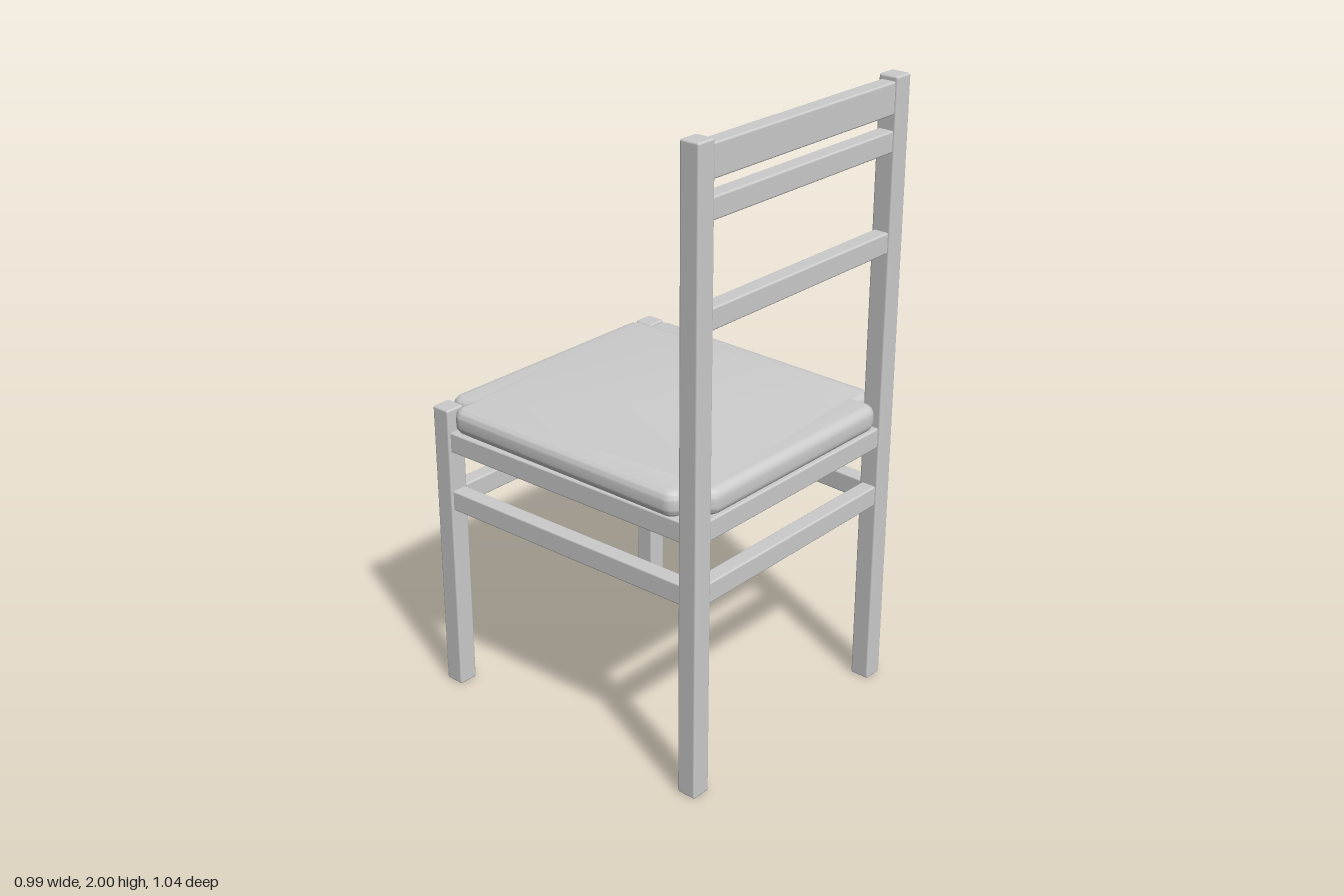
import * as THREE from 'three';
import { RoundedBoxGeometry } from 'three/addons/geometries/RoundedBoxGeometry.js';
import { mergeVertices, toCreasedNormals } from 'three/addons/utils/BufferGeometryUtils.js';

const LEG = 0.066, RAIL = 0.052;
const TALL = { x: 0.433, z: 0.484 };   // posts that carry the backrest
const SHORT = { x: 0.462, z: -0.484 }; // opposite legs, set slightly wider

const material = new THREE.MeshStandardMaterial({ color: 0xcccccc });

function add(group, name, geometry, x, y, z) {
  const mesh = new THREE.Mesh(geometry, material);
  mesh.name = name;
  mesh.position.set(x, y, z);
  group.add(mesh);
  return mesh;
}

function leg(group, name, x, z, height) {
  add(group, name, new RoundedBoxGeometry(LEG, height, LEG, 2, 0.007), x, height / 2, z);
}

// Horizontal bar between two leg centres, from height y0 to y1
function rail(group, name, [ax, az], [bx, bz], y0, y1) {
  const dx = bx - ax, dz = bz - az;
  const length = Math.hypot(dx, dz) - LEG + 0.012;
  const geometry = new RoundedBoxGeometry(RAIL, y1 - y0, length, 2, 0.006);
  add(group, name, geometry, (ax + bx) / 2, (y0 + y1) / 2, (az + bz) / 2).rotation.y = Math.atan2(dx, dz);
}

// Closed outline with every corner rounded by radius r
function roundedOutline(points, r) {
  const shape = new THREE.Shape();
  points.forEach((p, i) => {
    const prev = points[(i + points.length - 1) % points.length];
    const next = points[(i + 1) % points.length];
    const a = p.clone().add(prev.clone().sub(p).setLength(r));
    const b = p.clone().add(next.clone().sub(p).setLength(r));
    if (i === 0) shape.moveTo(a.x, a.y);
    else shape.lineTo(a.x, a.y);
    shape.quadraticCurveTo(p.x, p.y, b.x, b.y);
  });
  shape.closePath();
  return shape;
}

// Cushion with soft edges and a notch around each leg
function cushionGeometry() {
  const bevel = 0.03, height = 0.085;
  const half = [[0.398, -0.49], [0.398, -0.418], [0.457, -0.418], [0.446, 0.412], [0.365, 0.412], [0.365, 0.484]];
  const points = [
    ...half.map(([x, z]) => new THREE.Vector2(x, z)),
    ...half.slice().reverse().map(([x, z]) => new THREE.Vector2(-x, z)),
  ];
  const geometry = new THREE.ExtrudeGeometry(roundedOutline(points, 0.014), {
    depth: height - 2 * bevel, bevelSize: bevel, bevelThickness: bevel, bevelSegments: 6, curveSegments: 5,
  });
  geometry.rotateX(Math.PI / 2);
  geometry.translate(0, height / 2 - bevel, 0);
  geometry.deleteAttribute('uv');
  geometry.deleteAttribute('normal');
  return toCreasedNormals(mergeVertices(geometry, 1e-4), 0.7);
}

export function createModel() {
  const chair = new THREE.Group();
  chair.name = 'chair';

  // Legs, side aprons and side stretchers
  for (const s of [1, -1]) {
    const side = s > 0 ? 'left' : 'right';
    leg(chair, `${side}BackPost`, s * TALL.x, TALL.z, 2);
    leg(chair, `${side}ShortLeg`, s * SHORT.x, SHORT.z, 0.975);
    const ends = [[s * TALL.x, TALL.z], [s * SHORT.x, SHORT.z]];
    rail(chair, `${side}Stretcher`, ...ends, 0.633, 0.7);
    rail(chair, `${side}Apron`, ...ends, 0.833, 0.9);
  }

  // Cross rails under the seat
  for (const [end, p] of [['back', TALL], ['front', SHORT]]) {
    rail(chair, `${end}Stretcher`, [-p.x, p.z], [p.x, p.z], 0.633, 0.7);
    rail(chair, `${end}Apron`, [-p.x, p.z], [p.x, p.z], 0.833, 0.9);
  }

  // Backrest slats
  for (const [name, y0, y1] of [['lowerSlat', 1.467, 1.533], ['upperSlat', 1.775, 1.841], ['topRail', 1.887, 1.985]]) {
    rail(chair, name, [-TALL.x, TALL.z], [TALL.x, TALL.z], y0, y1);
  }

  add(chair, 'seatCushion', cushionGeometry(), 0, 0.942, 0);
  return chair;
}
